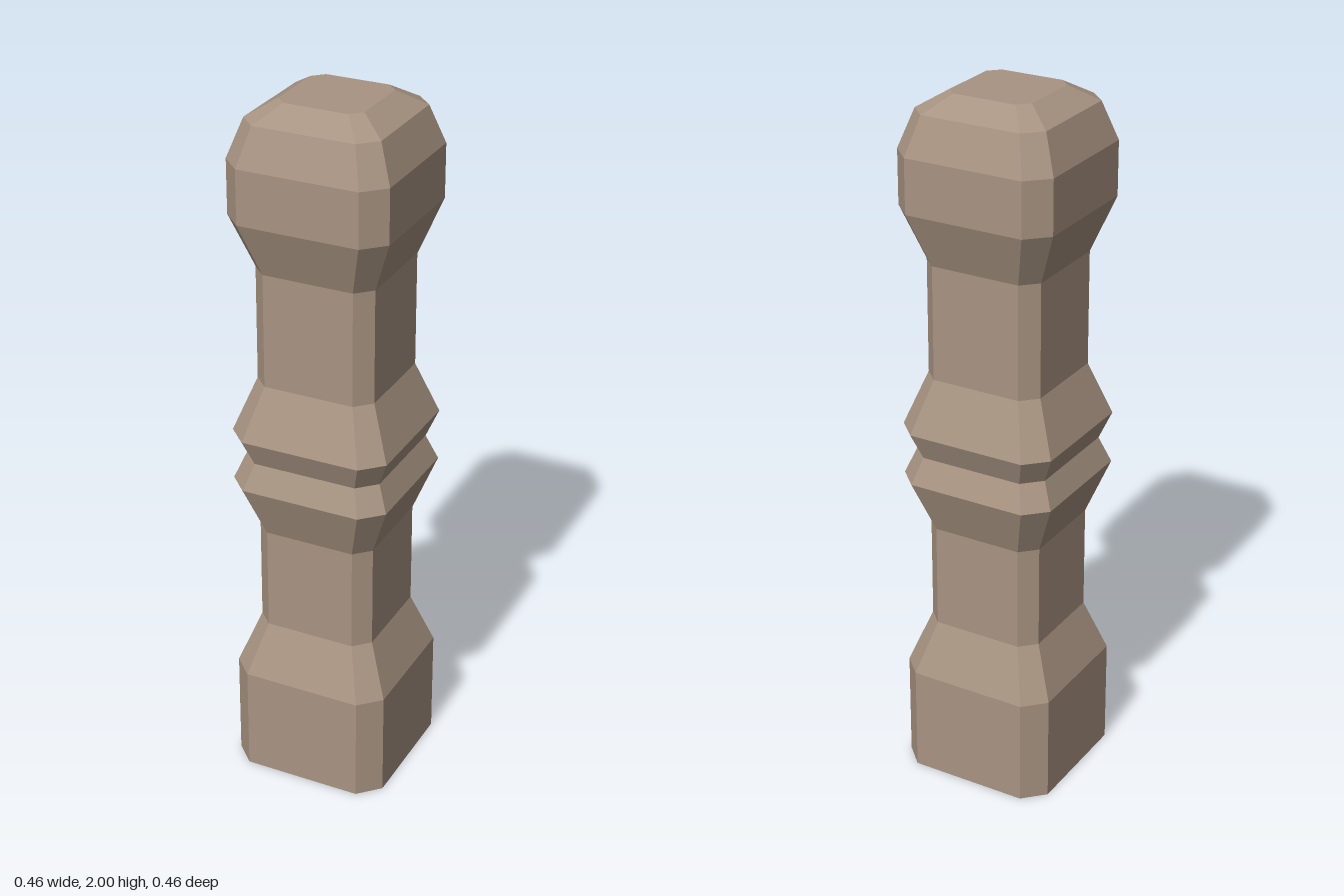
import * as THREE from 'three';

// Chamfered-square ring: h = half width, c = half length of the flat side
function ring([y, h, c]) {
  return [[-c, h], [c, h], [h, c], [h, -c], [c, -h], [-c, -h], [-h, -c], [-h, c]]
    .map(([x, z]) => [x, y, z]);
}

// Loft a stack of rings into flat facets, optionally closing the ends
function loft(levels, capBottom, capTop) {
  const rings = levels.map(ring);
  const pos = [];
  const tri = (a, b, c) => pos.push(...a, ...b, ...c);
  for (let k = 0; k < rings.length - 1; k++) {
    const lo = rings[k], hi = rings[k + 1];
    for (let i = 0; i < 8; i++) {
      const j = (i + 1) % 8;
      tri(lo[i], lo[j], hi[j]);
      tri(lo[i], hi[j], hi[i]);
    }
  }
  const bottom = rings[0], top = rings[rings.length - 1];
  for (let i = 1; i < 7; i++) {
    if (capBottom) tri(bottom[0], bottom[i + 1], bottom[i]);
    if (capTop) tri(top[0], top[i], top[i + 1]);
  }
  const geometry = new THREE.BufferGeometry();
  geometry.setAttribute('position', new THREE.Float32BufferAttribute(pos, 3));
  geometry.computeVertexNormals();
  return geometry;
}

export function createModel() {
  const post = new THREE.Group();
  post.name = 'post';
  const material = new THREE.MeshStandardMaterial({ color: 0xa89482, flatShading: true });

  const wide = (y) => [y, 0.23, 0.172];
  const slim = (y) => [y, 0.173, 0.13];

  const add = (name, levels, capBottom = false, capTop = false) => {
    const mesh = new THREE.Mesh(loft(levels, capBottom, capTop), material);
    mesh.name = name;
    post.add(mesh);
  };

  // Square foot with a sloped shoulder
  add('base', [wide(0), wide(0.31), slim(0.462)], true);
  add('lowerShaft', [slim(0.462), slim(0.763)]);
  // Double collar with a pinched waist
  add('collar', [slim(0.763), wide(0.915), [0.99, 0.2, 0.15], wide(1.065), slim(1.217)]);
  add('upperShaft', [slim(1.217), slim(1.543)]);
  // Flared head with a two-step bevelled top
  add('head', [slim(1.543), wide(1.695), wide(1.848), [1.955, 0.192, 0.144], [2, 0.12, 0.09]], false, true);

  return post;
}
